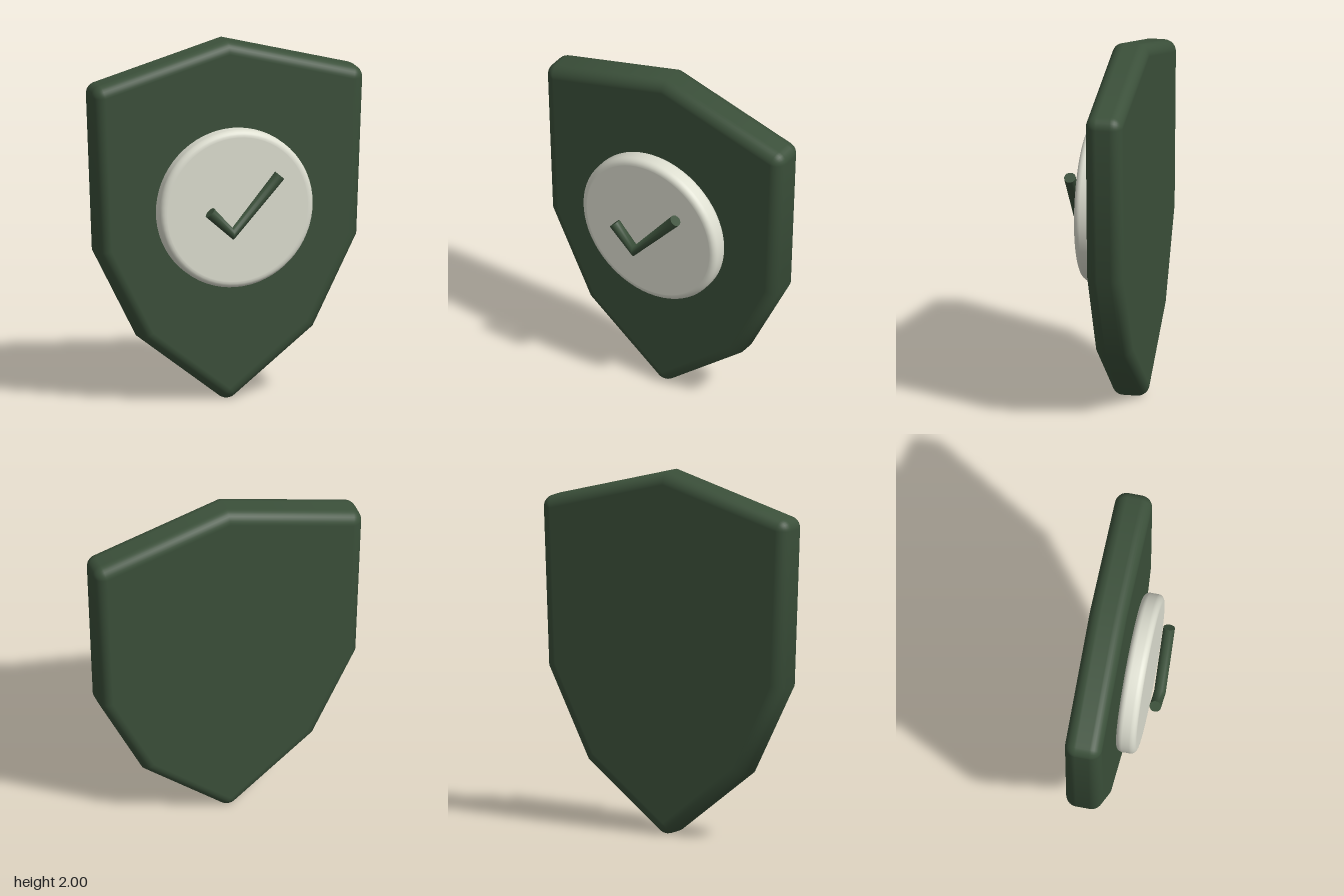
import * as THREE from 'three';

const green = new THREE.MeshStandardMaterial({ color: 0x3b503a });
green.name = 'darkGreen';
const cream = new THREE.MeshStandardMaterial({ color: 0xdedfd1 });
cream.name = 'cream';

// Convex slab with a rounded rim; outline runs counter-clockwise as [x, y, rounded]
function roundedSlab(outline, zBack, zFront, r) {
  const n = outline.length;
  const edgeNormal = (i) => {
    const a = outline[(i + n) % n], b = outline[(i + 1) % n];
    return new THREE.Vector2(b[1] - a[1], a[0] - b[0]).normalize();
  };
  // Inner points, each with the direction in which the rim grows
  const ring = [];
  outline.forEach(([x, y, rounded], i) => {
    const n1 = edgeNormal(i - 1), n2 = edgeNormal(i);
    const mitre = n1.clone().add(n2).divideScalar(1 + n1.dot(n2));
    const base = new THREE.Vector2(x, y).addScaledVector(mitre, -r);
    if (!rounded) return ring.push({ base, dir: mitre });
    const turn = Math.acos(n1.dot(n2));
    for (let k = 0; k <= 6; k++) {
      const dir = n1.clone().rotateAround(new THREE.Vector2(), turn * k / 6);
      ring.push({ base, dir });
    }
  });

  const pos = [], nor = [], idx = [], m = ring.length, steps = 8;
  // Rim loops from back to front
  for (let side = 0; side < 2; side++) {
    for (let k = 0; k <= steps; k++) {
      const a = (side - 1 + k / steps) * Math.PI / 2;
      const c = Math.cos(a), s = Math.sin(a);
      const z = (side ? zFront - r : zBack + r) + r * s;
      for (const { base, dir } of ring) {
        const u = dir.clone().normalize();
        pos.push(base.x + dir.x * r * c, base.y + dir.y * r * c, z);
        nor.push(u.x * c, u.y * c, s);
      }
    }
  }
  const loops = 2 * (steps + 1);
  for (let l = 0; l < loops - 1; l++) {
    for (let i = 0; i < m; i++) {
      const a = l * m + i, b = l * m + (i + 1) % m;
      idx.push(a, b, b + m, a, b + m, a + m);
    }
  }
  // Flat back and front faces
  const top = (loops - 1) * m;
  for (let i = 1; i < m - 1; i++) idx.push(0, i + 1, i, top, top + i, top + i + 1);

  const g = new THREE.BufferGeometry();
  g.setAttribute('position', new THREE.Float32BufferAttribute(pos, 3));
  g.setAttribute('normal', new THREE.Float32BufferAttribute(nor, 3));
  g.setIndex(idx);
  return g;
}

// Disc facing +z with a rounded rim
function roundedDisc(radius, depth, r) {
  const pts = [new THREE.Vector2(0, -depth / 2), new THREE.Vector2(radius - r - 0.003, -depth / 2)];
  for (let side = 0; side < 2; side++) {
    for (let k = 0; k <= 6; k++) {
      const a = (side - 1 + k / 6) * Math.PI / 2;
      pts.push(new THREE.Vector2(radius - r + r * Math.cos(a), (side ? 1 : -1) * (depth / 2 - r) + r * Math.sin(a)));
    }
  }
  pts.push(new THREE.Vector2(radius - r - 0.003, depth / 2), new THREE.Vector2(0, depth / 2));
  return new THREE.LatheGeometry(pts, 64).rotateX(Math.PI / 2);
}

// Two straight strokes sharing one joint ring
class TickCurve extends THREE.Curve {
  constructor(a, b, c) {
    super();
    this.p = [a, b, c];
    this.d1 = b.clone().sub(a).normalize();
    this.d2 = c.clone().sub(b).normalize();
  }
  getPointAt(u, target = new THREE.Vector3()) {
    const [a, b, c] = this.p;
    return u < 0.5 ? target.lerpVectors(a, b, u * 2) : target.lerpVectors(b, c, u * 2 - 1);
  }
  getPoint(t, target) { return this.getPointAt(t, target); }
  getTangentAt(u, target = new THREE.Vector3()) {
    if (u < 0.49) return target.copy(this.d1);
    if (u > 0.51) return target.copy(this.d2);
    return target.copy(this.d1).add(this.d2).normalize();
  }
}

export function createModel() {
  const model = new THREE.Group();
  model.name = 'shieldBadge';
  const add = (parent, name, geometry, material) => {
    const mesh = new THREE.Mesh(geometry, material);
    mesh.name = name;
    parent.add(mesh);
    return mesh;
  };

  // Shield body
  const half = [[0.49, 0.368], [0.741, 0.867], [0.777, 1.79, true]];
  const outline = [
    [0, -0.016, true], ...half, [0, 2],
    ...half.map(([x, y, k]) => [-x, y, k]).reverse(),
  ];
  add(model, 'shieldBody', roundedSlab(outline, -0.213, -0.008, 0.065), green);

  // Round plate
  add(model, 'roundPlate', roundedDisc(0.44, 0.112, 0.035), cream).position.set(0, 1.096, 0.065);

  // Check mark
  const tick = new THREE.Group();
  tick.name = 'checkMark';
  tick.position.z = 0.182;
  model.add(tick);
  const r = 0.032;
  const curve = new TickCurve(
    new THREE.Vector3(-0.178, 1.108, 0), new THREE.Vector3(-0.047, 0.979, 0), new THREE.Vector3(0.221, 1.286, 0));
  add(tick, 'checkStrokes', new THREE.TubeGeometry(curve, 2, r, 16, false), green);
  const ends = [[curve.p[0], curve.d1.clone().negate()], [curve.p[2], curve.d2]];
  for (const [p, d] of ends) {
    const cap = add(tick, 'checkEnd', new THREE.CircleGeometry(r, 16), green);
    cap.position.copy(p);
    cap.quaternion.setFromUnitVectors(new THREE.Vector3(0, 0, 1), d);
  }
  return model;
}
